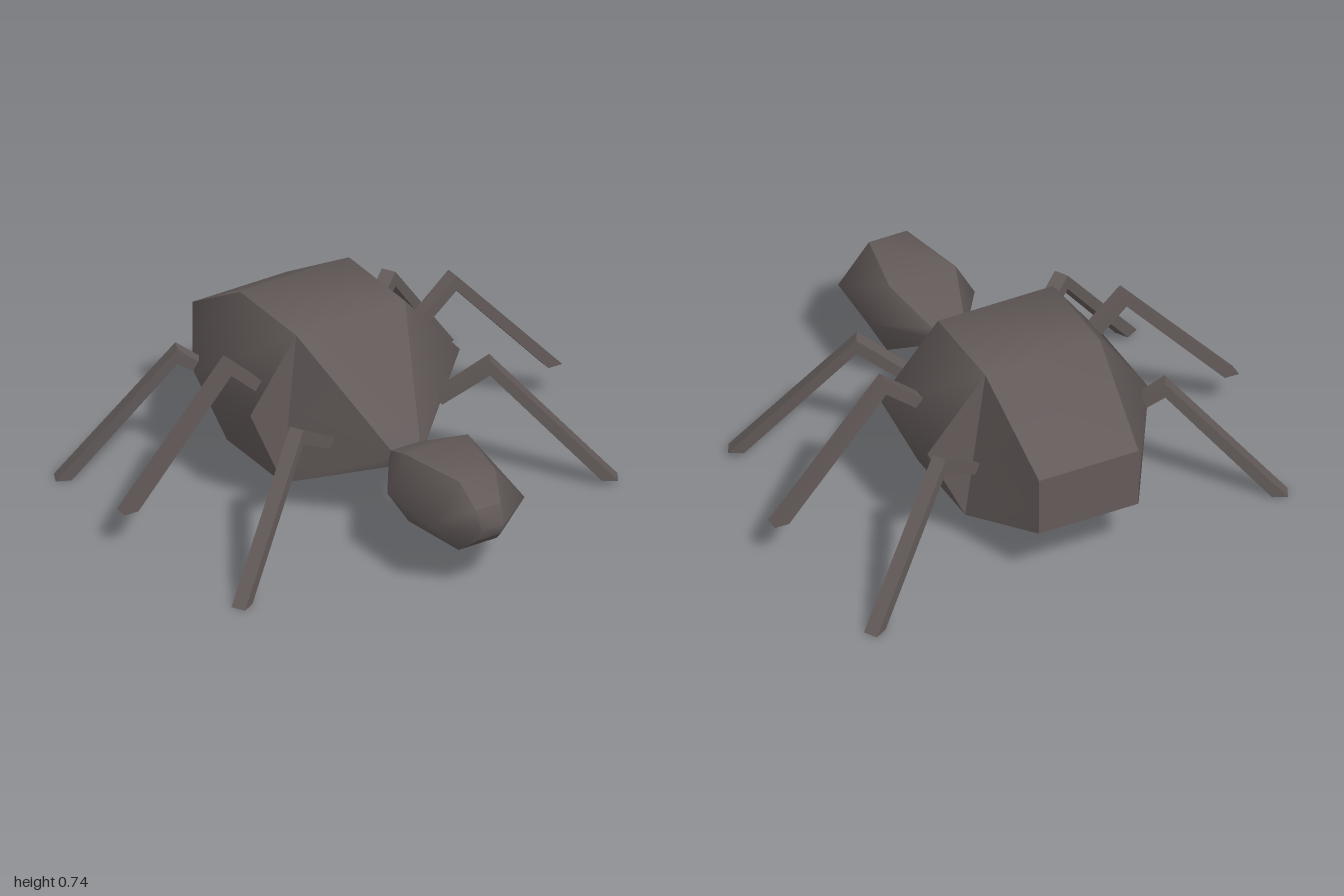
import * as THREE from 'three';
import { mergeGeometries } from 'three/addons/utils/BufferGeometryUtils.js';

const V = (x, y, z) => new THREE.Vector3(x, y, z);

// Smooth patch from rows of points; faces towards (row direction) x (column direction)
function patch(rows) {
  const n = rows[0].length, index = [];
  for (let i = 0; i + 1 < rows.length; i++) {
    for (let j = 0; j + 1 < n; j++) {
      const a = i * n + j, b = a + n;
      index.push(a, b, b + 1, a, b + 1, a + 1);
    }
  }
  const g = new THREE.BufferGeometry().setFromPoints(rows.flat());
  g.setIndex(index);
  g.computeVertexNormals();
  return g;
}

const strip = (rings, cols) => patch(rings.map(r => cols.map(c => r[c])));

// Six-sided ring: top, middle and bottom given as [left x, right x, y, z offset]
function ring(z, t, m, b) {
  const p = (k, s) => V(k[s], k[2], z + (k[3] || 0));
  return [p(t, 0), p(t, 1), p(m, 1), p(b, 1), p(b, 0), p(m, 0)];
}

const TOP = [0, 1], RIGHT = [1, 2, 3], BOTTOM = [3, 4], LEFT = [4, 5, 0];

// Copy of a ring with one middle corner pulled flat between its top and bottom
function flatten(r, mid, top, bottom) {
  const c = r.slice();
  c[mid] = r[top].clone().lerp(r[bottom], 0.5);
  return c;
}

export function createModel() {
  const shell = new THREE.MeshStandardMaterial({ color: 0x625a59 });
  shell.name = 'dark grey brown';
  const model = new THREE.Group();
  const add = (name, parts) => {
    const mesh = new THREE.Mesh(mergeGeometries(parts), shell);
    mesh.name = name;
    model.add(mesh);
  };

  // Abdomen rings, back to front
  const rear = ring(-0.888, [-0.23, 0.19, 0.5], [-0.23, 0.19, 0.375], [-0.23, 0.19, 0.255]);
  const hip = ring(-0.495, [-0.27, 0.215, 0.745], [-0.475, 0.46, 0.46], [-0.33, 0.3, 0.125]);
  const chest = ring(-0.105, [-0.27, 0.215, 0.745], [-0.475, 0.46, 0.46], [-0.33, 0.3, 0.125]);
  const neck = ring(0.29, [-0.1, 0.03, 0.385], [-0.11, 0.04, 0.35], [-0.1, 0.03, 0.316]);
  const hipFlat = flatten(hip, 2, 1, 3);
  const chestFlat = flatten(chest, 5, 0, 4);
  const body = [rear, hip, chest, neck];
  add('abdomen', [
    strip(body, TOP),
    strip(body, BOTTOM),
    strip([hip, chest, neck], RIGHT),
    strip([rear, hip, chest], LEFT),
    // Flat flanks with the step beside each
    strip([rear, hipFlat], RIGHT),
    strip([hipFlat, hip], RIGHT),
    strip([chest, chestFlat], LEFT),
    strip([chestFlat, neck], LEFT),
    // Rear end
    patch([[rear[0], rear[1]], [rear[4], rear[3]]].map(r => r.reverse())),
  ]);

  // Head rings, back to front
  const crown = ring(0.49, [-0.165, 0.115, 0.485], [-0.245, 0.205, 0.34], [-0.15, 0.125, 0.192]);
  const brow = ring(0.775, [-0.105, 0.055, 0.485], [-0.23, 0.185, 0.33], [-0.11, 0.06, 0.192]);
  const snout = ring(0.858, [-0.085, 0.025, 0.395], [-0.08, 0.02, 0.32, 0.03], [-0.085, 0.025, 0.262]);
  const head = [neck, crown, brow, snout];
  add('head', [
    ...[TOP, RIGHT, BOTTOM, LEFT].map(c => strip(head, c)),
    patch([[snout[0], snout[1]], [snout[5], snout[2]], [snout[4], snout[3]]]),
  ]);

  // Bent square legs: inner end, knee and foot centres
  const legs = {
    frontLeftLeg: [V(0.25, 0.4, 0.068), V(0.42, 0.535, 0.165), V(0.815, 0.032, 0.385)],
    frontRightLeg: [V(-0.26, 0.375, 0.085), V(-0.46, 0.515, 0.195), V(-0.845, 0.005, 0.415)],
    middleLeftLeg: [V(0.375, 0.53, -0.265), V(0.53, 0.66, -0.265), V(0.97, 0.165, -0.265)],
    middleRightLeg: [V(-0.39, 0.53, -0.175), V(-0.53, 0.66, -0.178), V(-0.97, 0.165, -0.187)],
    rearLeftLeg: [V(0.29, 0.365, -0.525), V(0.48, 0.51, -0.632), V(0.865, 0.005, -0.852)],
    rearRightLeg: [V(-0.42, 0.45, -0.545), V(-0.5, 0.51, -0.58), V(-0.89, 0.005, -0.763)],
  };
  for (const [name, path] of Object.entries(legs)) {
    const out = path[2].clone().sub(path[0]).setY(0).normalize();
    const side = out.clone().cross(V(0, 1, 0)).multiplyScalar(0.029);
    const thick = [
      out.clone().multiplyScalar(-0.016).setY(0.016),
      V(0, 0.031, 0),
      out.clone().multiplyScalar(0.03),
    ];
    const rings = path.map((p, i) => [[1, 1], [1, -1], [-1, -1], [-1, 1]].map(([a, b]) =>
      p.clone().addScaledVector(thick[i], a).addScaledVector(side, b)));
    const parts = [];
    for (let i = 0; i < 2; i++) {
      for (let j = 0; j < 4; j++) parts.push(strip([rings[i], rings[i + 1]], [j, (j + 1) % 4]));
    }
    const [a, , f] = rings;
    parts.push(patch([[a[1], a[0]], [a[2], a[3]]]), patch([[f[0], f[1]], [f[3], f[2]]]));
    add(name, parts);
  }

  return model;
}
